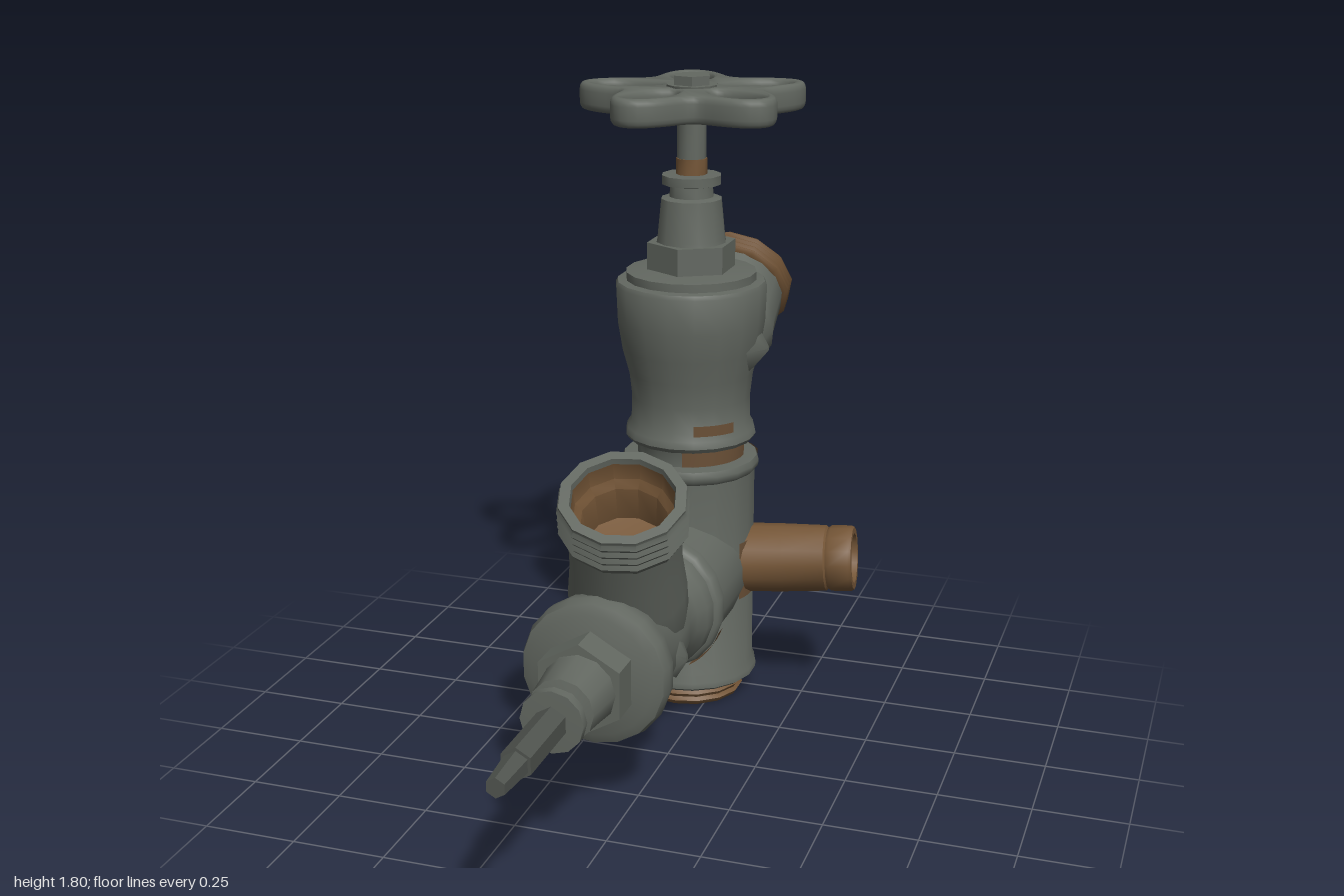
import * as THREE from 'three';
import { toCreasedNormals } from 'three/addons/utils/BufferGeometryUtils.js';

const mat = (name, color, side = THREE.FrontSide) => {
  const m = new THREE.MeshStandardMaterial({ color, side });
  m.name = name;
  return m;
};

export function createModel() {
  const model = new THREE.Group();
  model.name = 'valveAssembly';
  const grey = mat('castIronGrey', 0x636861);
  const dark = mat('darkSteel', 0x50544f);
  const brown = mat('rustBrown', 0x755637);
  const patch = mat('rustPatch', 0x694f36, THREE.DoubleSide);
  const UP = new THREE.Vector3(0, 1, 0);

  // Group whose local +y runs along dir
  const axis = (name, origin, dir) => {
    const g = new THREE.Group();
    g.name = name;
    g.position.set(...origin);
    g.quaternion.setFromUnitVectors(UP, new THREE.Vector3(...dir).normalize());
    model.add(g);
    return g;
  };
  const add = (parent, name, geo, material, crease = 0.72) => {
    const mesh = new THREE.Mesh(toCreasedNormals(geo, crease), material);
    mesh.name = name;
    parent.add(mesh);
    return mesh;
  };
  // Turned part from [radius, height] pairs, bottom to top
  const turned = (parent, name, pts, material, segs = 18) =>
    add(parent, name, new THREE.LatheGeometry(pts.map(p => new THREE.Vector2(...p)), segs), material);
  const prism = (parent, name, r0, r1, y0, y1, sides, material, turn = 0) => {
    const geo = new THREE.CylinderGeometry(r1, r0, y1 - y0, sides);
    geo.rotateY(turn).translate(0, (y0 + y1) / 2, 0);
    return add(parent, name, geo, material);
  };
  // Thin rust patch wrapped round an axis
  const rust = (parent, r, y0, y1, mid, span) => {
    const geo = new THREE.CylinderGeometry(r, r, y1 - y0, 8, 1, true, mid - span / 2, span);
    geo.translate(0, (y0 + y1) / 2, 0);
    add(parent, 'rustPatch', geo, patch);
  };
  // Zigzag screw thread profile
  const thread = (r, y0, y1, n) => {
    const pts = [];
    for (let i = 0; i <= 2 * n; i++) pts.push([r - (i % 2 ? 0 : 0.007), y0 + (y1 - y0) * i / (2 * n)]);
    return pts;
  };
  // Bonnet and packing collar, shared by both valves
  const bonnet = (parent, y) => {
    prism(parent, 'hexNut', 0.125, 0.125, y - 0.01, y + 0.08, 6, grey);
    turned(parent, 'bonnet', [[0.1, y + 0.07], [0.096, y + 0.09], [0.085, y + 0.2], [0.062, y + 0.205],
      [0.06, y + 0.235], [0.083, y + 0.24], [0.083, y + 0.265], [0, y + 0.268]], grey, 12);
  };

  // Vertical column
  const column = axis('column', [-0.08, 0, -0.45], [0, 1, 0]);
  turned(column, 'bottomThread', [[0, 0.05], [0.12, 0.05], [0.12, 0.008], [0.145, 0.008],
    ...thread(0.156, 0.012, 0.075, 3)], brown, 14);
  turned(column, 'columnBody', [[0.1, 0.07], [0.185, 0.07], [0.195, 0.078], [0.195, 0.095], [0.184, 0.115],
    [0.184, 0.695], [0.194, 0.705], [0.196, 0.72], [0.19, 0.735], [0.152, 0.738], [0.15, 0.78], [0.16, 0.8]], grey);
  turned(column, 'upperBody', [[0.145, 0.785], [0.178, 0.788], [0.186, 0.8], [0.182, 0.82], [0.17, 0.84],
    [0.168, 0.91], [0.176, 0.98], [0.195, 1.05], [0.208, 1.13], [0.212, 1.23], [0.206, 1.242],
    [0.182, 1.245], [0.182, 1.268], [0.12, 1.275], [0, 1.276]], grey);
  bonnet(column, 1.27);
  prism(column, 'stem', 0.04, 0.04, 1.52, 1.72, 10, grey);
  prism(column, 'rustyStemFoot', 0.043, 0.043, 1.535, 1.58, 10, brown);
  const boss = prism(column, 'castBoss', 0.07, 0.008, 0, 0.045, 6, grey);
  boss.position.set(0.18, 1.06, 0);
  boss.rotation.z = -Math.PI / 2;

  // Handwheel with five open petals
  const wheel = new THREE.Shape();
  const N = 90;
  wheel.setFromPoints(Array.from({ length: N }, (_, i) => {
    const a = i / N * Math.PI * 2;
    const r = 0.265 + 0.058 * Math.cos(5 * (a - Math.PI));
    return new THREE.Vector2(r * Math.cos(a), r * Math.sin(a));
  }));
  for (let k = 0; k < 5; k++) {
    const a = Math.PI + k * Math.PI * 0.4;
    const hole = new THREE.Path();
    hole.setFromPoints(Array.from({ length: 20 }, (_, i) => {
      const t = i / 20 * Math.PI * 2;
      const u = 0.185 + 0.1 * Math.cos(t);
      const v = (0.056 + 0.012 * Math.cos(t)) * Math.sin(t);
      return new THREE.Vector2(u * Math.cos(a) - v * Math.sin(a), u * Math.sin(a) + v * Math.cos(a));
    }));
    wheel.holes.push(hole);
  }
  const wheelGeo = new THREE.ExtrudeGeometry(wheel, {
    depth: 0.035, bevelEnabled: true, bevelThickness: 0.02, bevelSize: 0.013, bevelOffset: -0.013, bevelSegments: 3,
  });
  wheelGeo.rotateX(-Math.PI / 2).translate(0, 1.72, 0);
  add(column, 'handwheel', wheelGeo, grey, 0.9).position.set(0, 0, -0.01);
  prism(column, 'wheelNut', 0.055, 0.055, 1.76, 1.805, 6, grey, 0.3);
  prism(column, 'wheelHub', 0.06, 0.07, 1.69, 1.78, 12, grey);

  // Rear angled outlet on the upper body
  const rear = axis('rearOutlet', [-0.08, 0.906, -0.478], [0, 0.504, -0.864]);
  turned(rear, 'outletNeck', [[0.09, 0.1], [0.14, 0.18], [0.168, 0.27], [0.16, 0.32], [0.156, 0.435]], grey, 16);
  turned(rear, 'outletThread', [[0.15, 0.425], ...thread(0.173, 0.428, 0.493, 4), [0.16, 0.5], [0.138, 0.5],
    [0.132, 0.44], [0.11, 0.425], [0.105, 0.32], [0, 0.31]], brown, 12);

  // Side pipe
  const pipe = axis('sidePipe', [-0.05, 0.415, -0.455], [0.445, 0.03, -0.05]);
  turned(pipe, 'pipe', [[0.1, 0.1], [0.098, 0.25], [0.094, 0.37], [0.088, 0.375], [0.094, 0.385], [0.094, 0.44],
    [0.09, 0.449], [0.072, 0.449], [0.066, 0.36], [0.05, 0.33], [0, 0.32]], brown, 14);

  // Horizontal valve, running forward from the column
  const front = axis('frontValve', [-0.08, 0.4, 0], [0, 0, 1]);
  turned(front, 'valveBody', [[0.183, -0.4], [0.183, -0.16], [0.195, -0.15], [0.197, -0.12], [0.19, -0.105],
    [0.18, -0.1], [0.175, -0.06], [0.156, -0.03], [0.152, 0.02], [0.16, 0.06], [0.166, 0.15], [0.172, 0.25],
    [0.197, 0.305], [0.2, 0.34], [0.192, 0.368], [0.165, 0.38], [0, 0.39]], grey);
  bonnet(front, 0.39);
  prism(front, 'frontStem', 0.043, 0.043, 0.64, 0.88, 6, dark);
  prism(front, 'frontStemTip', 0.035, 0.026, 0.87, 1.0, 6, dark);
  const bump = prism(front, 'castBump', 0.06, 0.01, 0, 0.03, 6, grey);
  bump.position.set(0.155, 0.16, 0.02);
  bump.rotation.z = -Math.PI / 2;

  // Upward angled outlet on the front valve
  const spout = axis('frontOutlet', [-0.08, 0.4, 0.08], [0.06, 0.465, 0.22]);
  turned(spout, 'outletNeck', [[0.14, 0], [0.158, 0.1], [0.156, 0.18], [0.146, 0.28], [0.144, 0.42]], grey, 16);
  turned(spout, 'outletThread', [[0.13, 0.4], [0.16, 0.402], ...thread(0.17, 0.41, 0.505, 4), [0.164, 0.515],
    [0.136, 0.516], [0.133, 0.5]], grey, 12);
  turned(spout, 'outletBore', [[0.134, 0.505], [0.13, 0.45], [0.112, 0.43], [0.105, 0.33], [0, 0.32]], brown, 12);

  // Rust stains
  rust(column, 0.188, 0.33, 0.5, Math.PI / 2 + 0.05, 0.95);
  rust(column, 0.198, 0.71, 0.73, 2.9, 1.6);
  rust(column, 0.155, 0.74, 0.785, 0.9, 1.5);
  rust(column, 0.154, 0.74, 0.785, 3.3, 1.3);
  rust(column, 0.188, 0.79, 0.82, 2.8, 1.0);
  rust(column, 0.176, 0.835, 0.865, 0.7, 0.7);
  rust(front, 0.199, -0.15, -0.11, 0.9, 0.7);
  return model;
}
